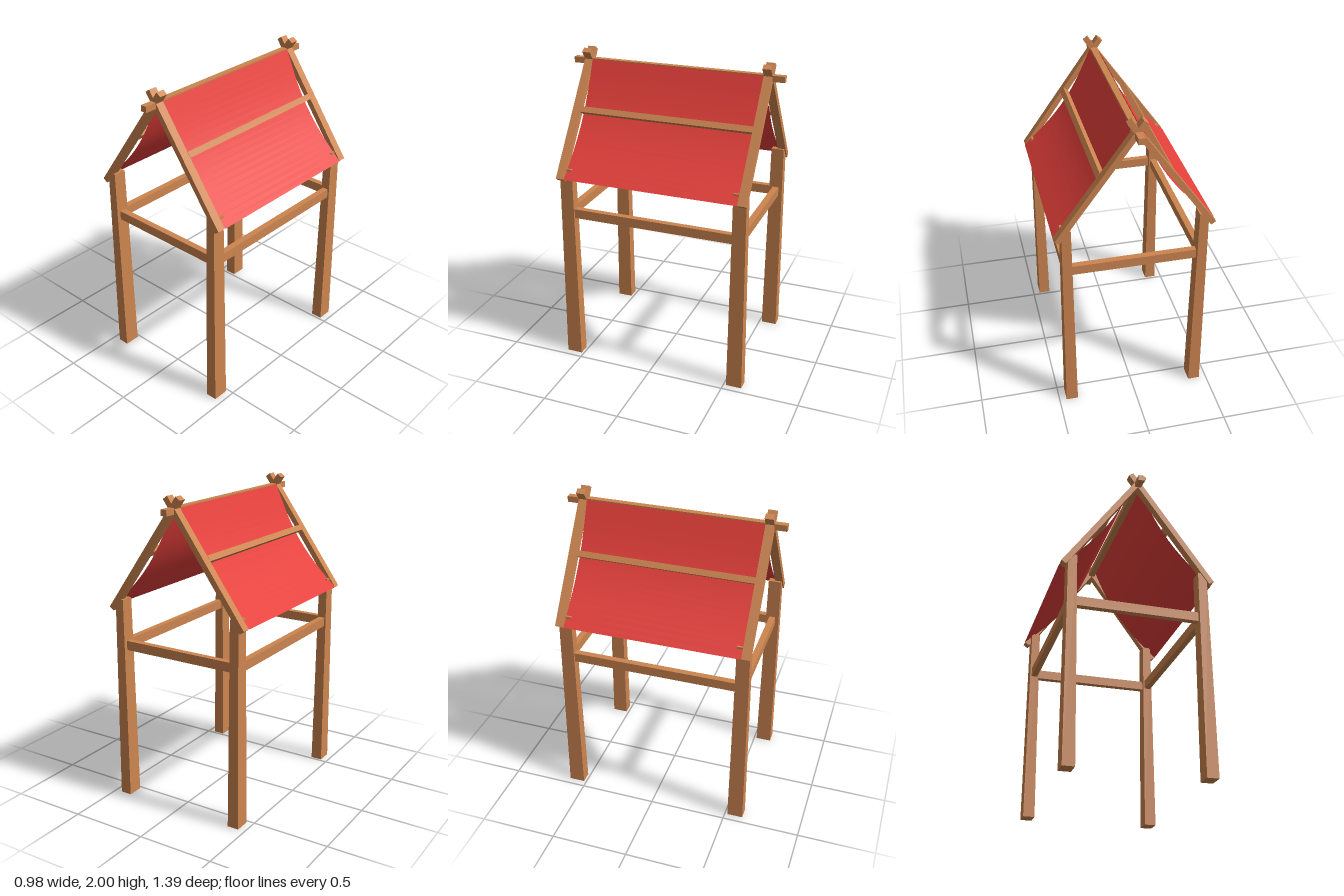
import * as THREE from 'three';

const wood = new THREE.MeshStandardMaterial({ color: 0xcd8550 });
const cloth = new THREE.MeshStandardMaterial({ color: 0xe53f3a, side: THREE.DoubleSide });

const LEG_X = 0.417, LEG_Z = 0.568, RAFTER_Z = 0.591, CLOTH_Z = 0.562;

export function createModel() {
  const model = new THREE.Group();
  model.name = 'canopyFrame';

  const add = (name, geometry, material, x = 0, y = 0, z = 0, rotZ = 0) => {
    const mesh = new THREE.Mesh(geometry, material);
    mesh.name = name;
    mesh.position.set(x, y, z);
    mesh.rotation.z = rotZ;
    model.add(mesh);
    return mesh;
  };
  const beam = (name, w, h, d, x, y, z, rotZ = 0) =>
    add(name, new THREE.BoxGeometry(w, h, d), wood, x, y, z, rotZ);

  // Post narrowing towards the top
  const legGeometry = () => {
    const g = new THREE.BoxGeometry(0.075, 1.33, 0.102).translate(0, 0.665, 0);
    const p = g.attributes.position;
    for (let i = 0; i < p.count; i++) {
      if (p.getY(i) > 1) p.setXYZ(i, p.getX(i) * 0.75, p.getY(i), p.getZ(i) * 0.81);
    }
    g.computeVertexNormals();
    return g;
  };

  // Hanging sheet: straight along z, sagging inwards between ridge and eave
  const clothGeometry = (side) => {
    const g = new THREE.PlaneGeometry(1, 1, 20, 1);
    const p = g.attributes.position;
    const top = new THREE.Vector2(0.026, 1.93), eave = new THREE.Vector2(0.49, 1.275);
    const run = eave.clone().sub(top).normalize();
    for (let i = 0; i < p.count; i++) {
      const t = p.getX(i) + 0.5;
      const q = top.clone().lerp(eave, t);
      const sag = 0.055 * Math.sin(Math.PI * t);
      p.setXYZ(i, side * (q.x + run.y * sag), q.y - run.x * sag, -side * p.getY(i) * 2 * CLOTH_Z);
    }
    g.computeVertexNormals();
    return g;
  };

  // Rafter centre line, from eave to just past the ridge
  const low = new THREE.Vector2(0.4735, 1.265), high = new THREE.Vector2(-0.044, 1.99);
  const slope = Math.atan2(low.y - high.y, low.x - high.x);
  const length = low.distanceTo(high);
  const mid = low.clone().add(high).multiplyScalar(0.5);

  for (const side of [1, -1]) {
    const hand = side > 0 ? 'left' : 'right';
    for (const end of [1, -1]) {
      const face = end > 0 ? 'Front' : 'Back';
      add(`${hand}${face}Leg`, legGeometry(), wood, side * LEG_X, 0, end * LEG_Z);
      beam(`${hand}${face}Rafter`, length, 0.036, 0.054, side * mid.x, mid.y, end * RAFTER_Z, side * slope);
    }
    beam(`${hand}SideRail`, 0.04, 0.06, 1.05, side * LEG_X, 1.03, 0);
    beam(`${hand}Purlin`, 0.038, 0.038, 2 * CLOTH_Z + 0.006, side * 0.2025, 1.645, 0, side * slope);
    add(`${hand}Cloth`, clothGeometry(side), cloth);
  }

  // Cross rails between the legs and the ridge pole
  beam('frontRail', 0.772, 0.06, 0.04, 0, 1.03, LEG_Z);
  beam('backRail', 0.772, 0.06, 0.04, 0, 1.03, -LEG_Z);
  beam('ridgePole', 0.04, 0.038, 1.388, 0, 1.916, 0);

  return model;
}
